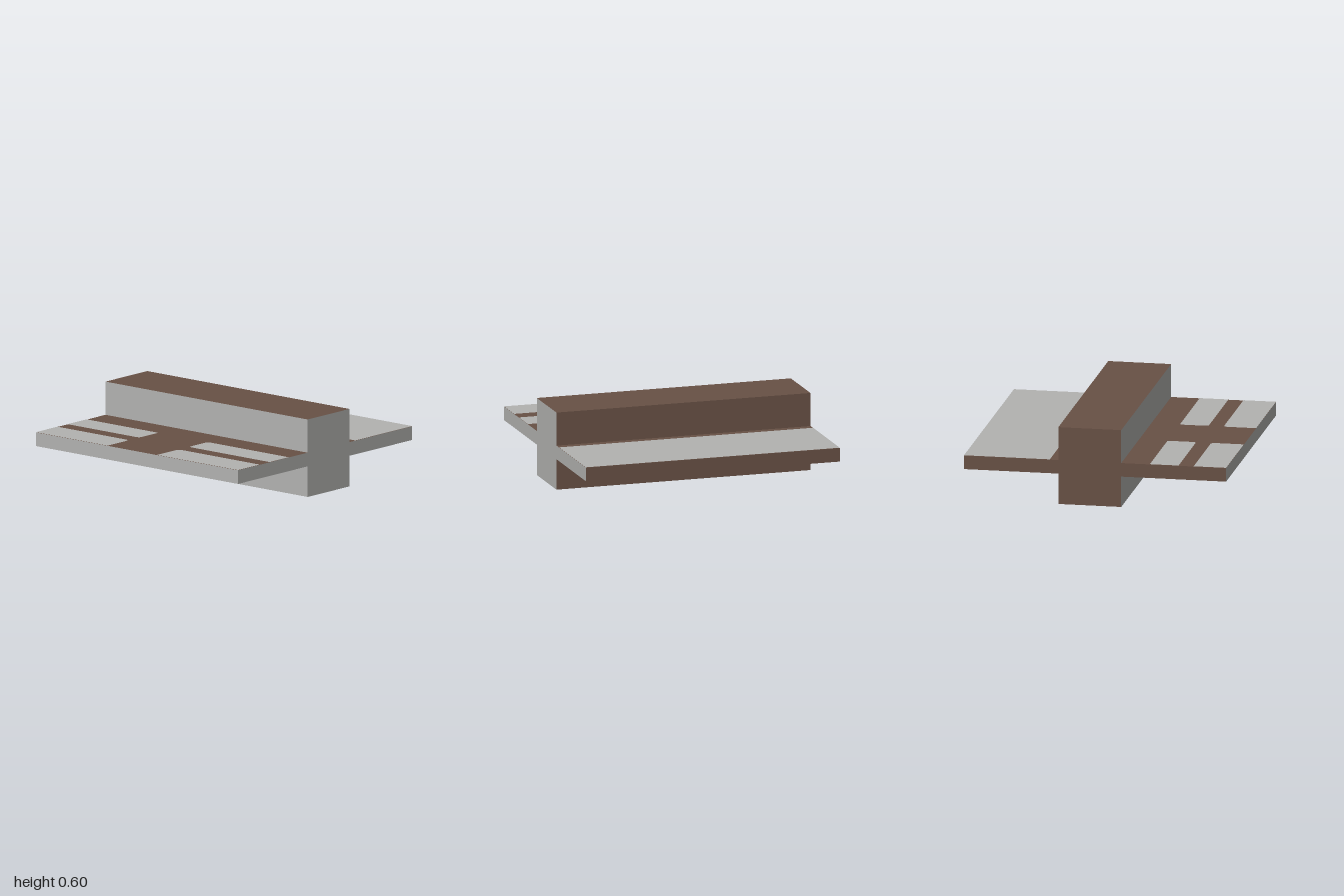
import * as THREE from 'three';

const brown = new THREE.MeshStandardMaterial({ color: 0x685145 });
brown.name = 'brown';
const grey = new THREE.MeshStandardMaterial({ color: 0xb3b3b1 });
grey.name = 'grey';

// Key lines of the cross-shaped section
const L = -0.2, R = 0.28, LOW = 0.235, HIGH = 0.34, TOP = 0.595;
const PROFILE = [
  [L, 0], [R, 0], [R, LOW], [1, LOW], [1, HIGH], [R, HIGH],
  [R, TOP], [L, TOP], [L, HIGH], [-1, HIGH], [-1, LOW], [L, LOW],
];

export function createModel() {
  const group = new THREE.Group();
  group.name = 'beamWithFlanges';
  const add = (name, geometry, material, parent = group) => {
    const mesh = new THREE.Mesh(geometry, material);
    mesh.name = name;
    parent.add(mesh);
    return mesh;
  };

  // Long faces: one quad per profile edge, grey where it faces left in the section
  const sides = { brown: [], grey: [] };
  PROFILE.forEach(([ax, ay], i) => {
    const [bx, by] = PROFILE[(i + 1) % PROFILE.length];
    const list = by < ay ? sides.grey : sides.brown;
    list.push(ax, ay, 1, ax, ay, -1, bx, by, -1, ax, ay, 1, bx, by, -1, bx, by, 1);
  });
  for (const [key, material] of [['brown', brown], ['grey', grey]]) {
    const geometry = new THREE.BufferGeometry();
    geometry.setAttribute('position', new THREE.Float32BufferAttribute(sides[key], 3));
    geometry.computeVertexNormals();
    add(key + 'LongFaces', geometry, material);
  }

  // End faces
  const endFace = (sign) => new THREE.ShapeGeometry(
    new THREE.Shape(PROFILE.map(([x, y]) => new THREE.Vector2(x * sign, y))));
  add('frontEnd', endFace(1).translate(0, 0, 1), grey);
  add('backEnd', endFace(-1).rotateY(Math.PI).translate(0, 0, -1), brown);

  // Grey panels painted on the flange tops, rounded at their inner end
  const panels = new THREE.Group();
  panels.name = 'topPanels';
  group.add(panels);
  const panel = (name, x0, x1, zOuter, zInner, r0, r1) => {
    const d = Math.sign(zOuter - zInner);
    const s = new THREE.Shape();
    s.moveTo(x0, -zOuter);
    s.lineTo(x0, -(zInner + d * r0));
    if (r0) s.quadraticCurveTo(x0, -zInner, x0 + r0, -zInner);
    s.lineTo(x1 - r1, -zInner);
    if (r1) s.quadraticCurveTo(x1, -zInner, x1, -(zInner + d * r1));
    s.lineTo(x1, -zOuter);
    s.closePath();
    add(name, new THREE.ShapeGeometry(s, 6).rotateX(-Math.PI / 2).translate(0, HIGH + 0.002, 0), grey, panels);
  };
  panel('rightFlangePanel', 0.345, 1, 1, -1, 0, 0);
  for (const [end, zOuter, zInner] of [['front', 1, 0.2], ['back', -1, -0.29]]) {
    panel(end + 'OuterPanel', -1, -0.752, zOuter, zInner, 0, 0.035);
    panel(end + 'InnerPanel', -0.637, -0.418, zOuter, zInner, 0.03, 0.02);
  }

  return group;
}
